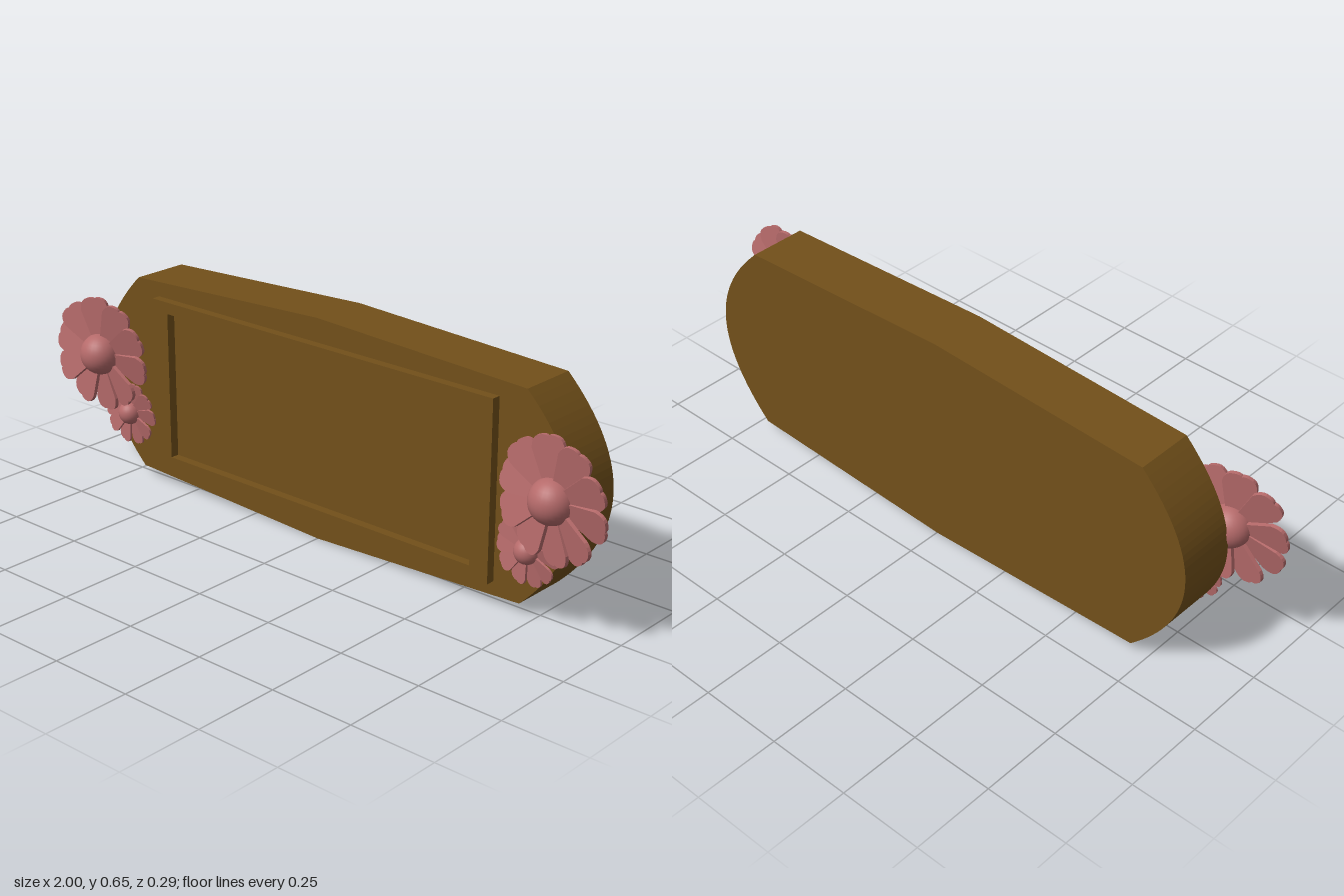
import * as THREE from 'three';

const wood = new THREE.MeshStandardMaterial({ color: 0x72501a });
const pink = new THREE.MeshStandardMaterial({ color: 0xb56a6a });

function addMesh(parent, name, geometry, material) {
  const mesh = new THREE.Mesh(geometry, material);
  mesh.name = name;
  parent.add(mesh);
  return mesh;
}

function rectangle(PathType, halfWidth, bottom, top) {
  const p = new PathType();
  p.moveTo(-halfWidth, bottom);
  p.lineTo(halfWidth, bottom);
  p.lineTo(halfWidth, top);
  p.lineTo(-halfWidth, top);
  p.closePath();
  return p;
}

// Thin fan-shaped petal with a lightly scalloped tip, pointing along +y
function petalGeometry() {
  const s = new THREE.Shape();
  s.moveTo(-0.012, 0.02);
  s.lineTo(0.012, 0.02);
  s.lineTo(0.047, 0.135);
  s.quadraticCurveTo(0.046, 0.168, 0.022, 0.172);
  s.quadraticCurveTo(0.008, 0.176, 0, 0.17);
  s.quadraticCurveTo(-0.008, 0.176, -0.022, 0.172);
  s.quadraticCurveTo(-0.046, 0.168, -0.047, 0.135);
  s.closePath();
  const g = new THREE.ExtrudeGeometry(s, { depth: 0.011, bevelEnabled: false, curveSegments: 5 });
  return g.translate(0, 0, -0.0055);
}

// Ten overlapping petals, pitched like a pinwheel, around a domed centre
function makeFlower(name, petal) {
  const flower = new THREE.Group();
  flower.name = name;
  const count = 10;
  for (let i = 0; i < count; i++) {
    const spoke = new THREE.Group();
    spoke.rotation.z = (i / count) * Math.PI * 2 + 0.12;
    const mesh = addMesh(spoke, 'petal', petal, pink);
    mesh.rotation.set(0.04 * Math.sin(i * 2.4), 0.2, 0);
    flower.add(spoke);
  }
  addMesh(flower, 'flowerCentre', new THREE.SphereGeometry(0.0625, 28, 18), pink);
  return flower;
}

export function createModel() {
  const model = new THREE.Group();
  model.name = 'floralPlaque';

  // Board with shallow peaked edges and bowed ends
  const outline = new THREE.Shape();
  outline.moveTo(0, 0);
  outline.lineTo(0.703, 0.03);
  outline.quadraticCurveTo(1.015, 0.3275, 0.703, 0.625);
  outline.lineTo(0, 0.655);
  outline.lineTo(-0.703, 0.625);
  outline.quadraticCurveTo(-1.015, 0.3275, -0.703, 0.03);
  outline.closePath();
  const board = new THREE.ExtrudeGeometry(outline, { depth: 0.175, bevelEnabled: false, curveSegments: 32 });
  addMesh(model, 'board', board.translate(0, 0, -0.144), wood);

  // Raised rectangular frame
  const rim = rectangle(THREE.Shape, 0.618, 0.067, 0.585);
  rim.holes.push(rectangle(THREE.Path, 0.558, 0.103, 0.55));
  const frame = new THREE.ExtrudeGeometry(rim, { depth: 0.027, bevelEnabled: false });
  addMesh(model, 'frame', frame.translate(0, 0, 0.031), wood);

  // A large and a small flower at each end
  const petal = petalGeometry();
  for (const side of [1, -1]) {
    const label = side > 0 ? 'left' : 'right';
    const large = makeFlower(label + 'LargeFlower', petal);
    large.position.set(side * 0.826, 0.373, 0.081);
    large.rotation.y = -side * 0.09;
    model.add(large);

    const small = makeFlower(label + 'SmallFlower', petal);
    small.position.set(side * 0.737, 0.199, 0.053);
    small.rotation.set(0.03, -side * 0.04, 0.2);
    small.scale.setScalar(0.57);
    model.add(small);
  }
  return model;
}
